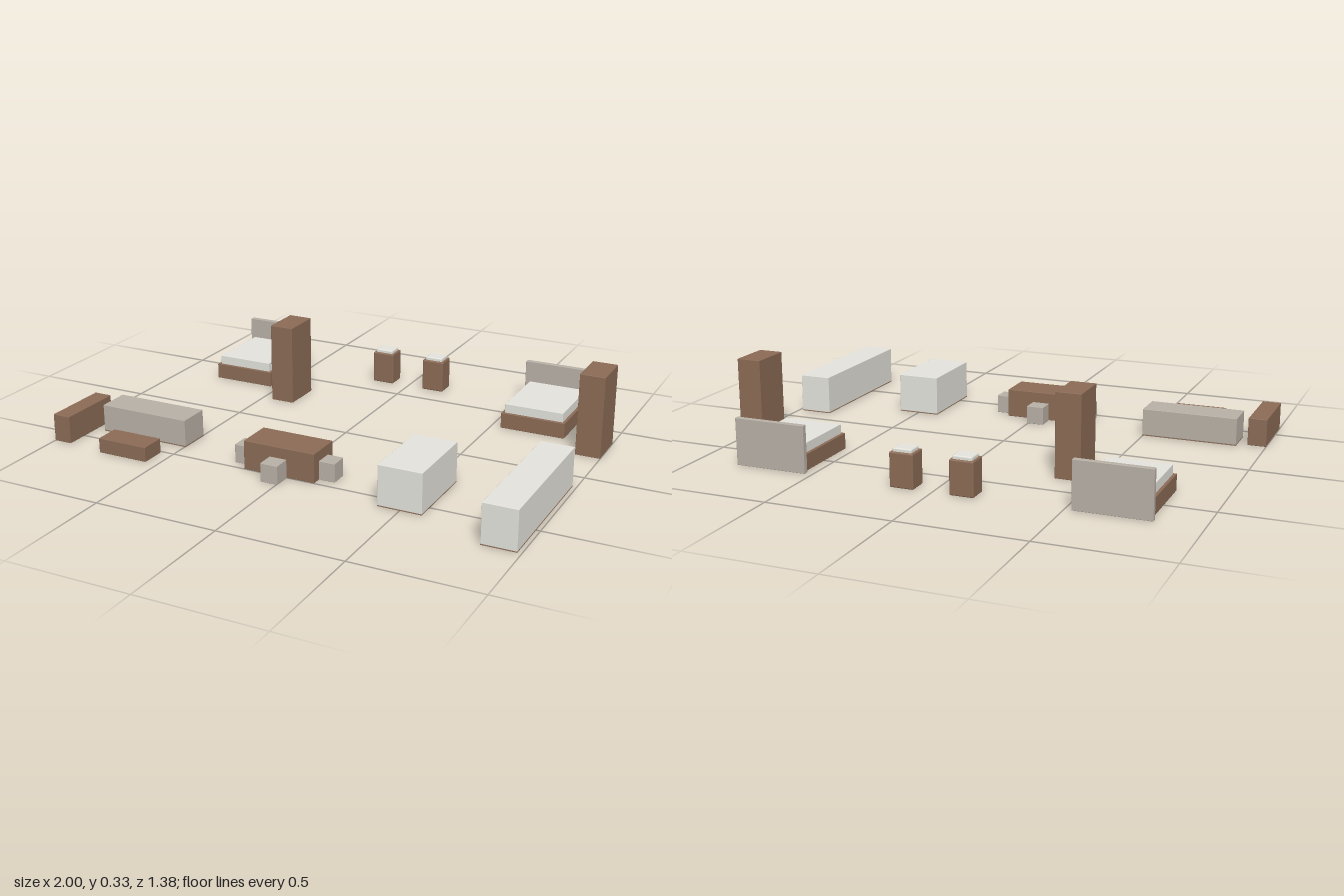
import * as THREE from 'three';
import { RoundedBoxGeometry } from 'three/addons/geometries/RoundedBoxGeometry.js';

const paint = (color) => new THREE.MeshStandardMaterial({ color });
const wood = paint(0x8b6b55);
const fabric = paint(0xb8b0a6);
const white = paint(0xe4e3dc);

// Box given by its limits on each axis, with slightly softened edges
function block(parent, name, material, [x0, x1], [y0, y1], [z0, z1], bevel = 0.002) {
  const w = x1 - x0, h = y1 - y0, d = z1 - z0;
  const geometry = bevel ? new RoundedBoxGeometry(w, h, d, 1, bevel) : new THREE.BoxGeometry(w, h, d);
  const mesh = new THREE.Mesh(geometry, material);
  mesh.name = name;
  mesh.position.set((x0 + x1) / 2, (y0 + y1) / 2, (z0 + z1) / 2);
  parent.add(mesh);
  return mesh;
}

function group(parent, name) {
  const g = new THREE.Group();
  g.name = name;
  parent.add(g);
  return g;
}

// Low frame, inset mattress and a wider headboard behind
function bed(parent, name, x) {
  const g = group(parent, name);
  block(g, 'bedFrame', wood, [-0.135, 0.135], [0, 0.065], [-0.652, -0.332]);
  block(g, 'mattress', white, [-0.123, 0.123], [0.04, 0.103], [-0.643, -0.343]);
  block(g, 'headboard', fabric, [-0.147, 0.147], [0, 0.187], [-0.674, -0.652]);
  g.position.x = x;
}

// Small cabinet with a pale inset top
function nightstand(parent, name, x) {
  const g = group(parent, name);
  block(g, 'nightstandBody', wood, [-0.048, 0.048], [0, 0.136], [-0.69, -0.606], 0.006);
  block(g, 'nightstandTop', white, [-0.039, 0.039], [0.12, 0.15], [-0.681, -0.615], 0.006);
  g.position.x = x;
}

// Pale kitchen block on a dark underside
function counter(parent, name, xs, height, zs) {
  const g = group(parent, name);
  block(g, 'counterBase', wood, xs, [0, 0.003], zs, 0);
  block(g, 'counterBody', white, xs, [0.003, height], zs);
}

export function createModel() {
  const model = new THREE.Group();
  model.name = 'apartmentFurniture';

  // Bedrooms
  bed(model, 'rightBed', -0.674);
  bed(model, 'leftBed', 0.676);
  nightstand(model, 'rightNightstand', -0.118);
  nightstand(model, 'leftNightstand', 0.119);
  block(model, 'rightWardrobe', wood, [-0.455, -0.354], [0, 0.333], [-0.369, -0.199]);
  block(model, 'leftWardrobe', wood, [0.899, 1], [0, 0.333], [-0.369, -0.199]);

  // Living area
  const living = group(model, 'livingArea');
  block(living, 'sofaBase', wood, [-0.885, -0.497], [0, 0.003], [0.286, 0.42], 0);
  block(living, 'sofa', fabric, [-0.885, -0.497], [0.003, 0.112], [0.286, 0.42]);
  block(living, 'sideboard', wood, [-1, -0.925], [0, 0.112], [0.315, 0.593]);
  block(living, 'coffeeTable', wood, [-0.768, -0.553], [0, 0.06], [0.51, 0.615]);

  // Dining table with a seat on each side
  const dining = group(model, 'diningSet');
  block(dining, 'diningTable', wood, [-0.18, 0.12], [0, 0.117], [0.35, 0.5]);
  const half = 0.036;
  for (const [x, z] of [[-0.208, 0.424], [0.149, 0.424], [-0.031, 0.309], [-0.031, 0.538]]) {
    block(dining, 'diningSeat', fabric, [x - half, x + half], [0, 0.075], [z - half, z + half]);
  }

  // Kitchen
  counter(model, 'kitchenIsland', [0.411, 0.586], 0.162, [0.249, 0.571]);
  counter(model, 'kitchenCounter', [0.852, 0.984], 0.158, [0.094, 0.69]);

  return model;
}
